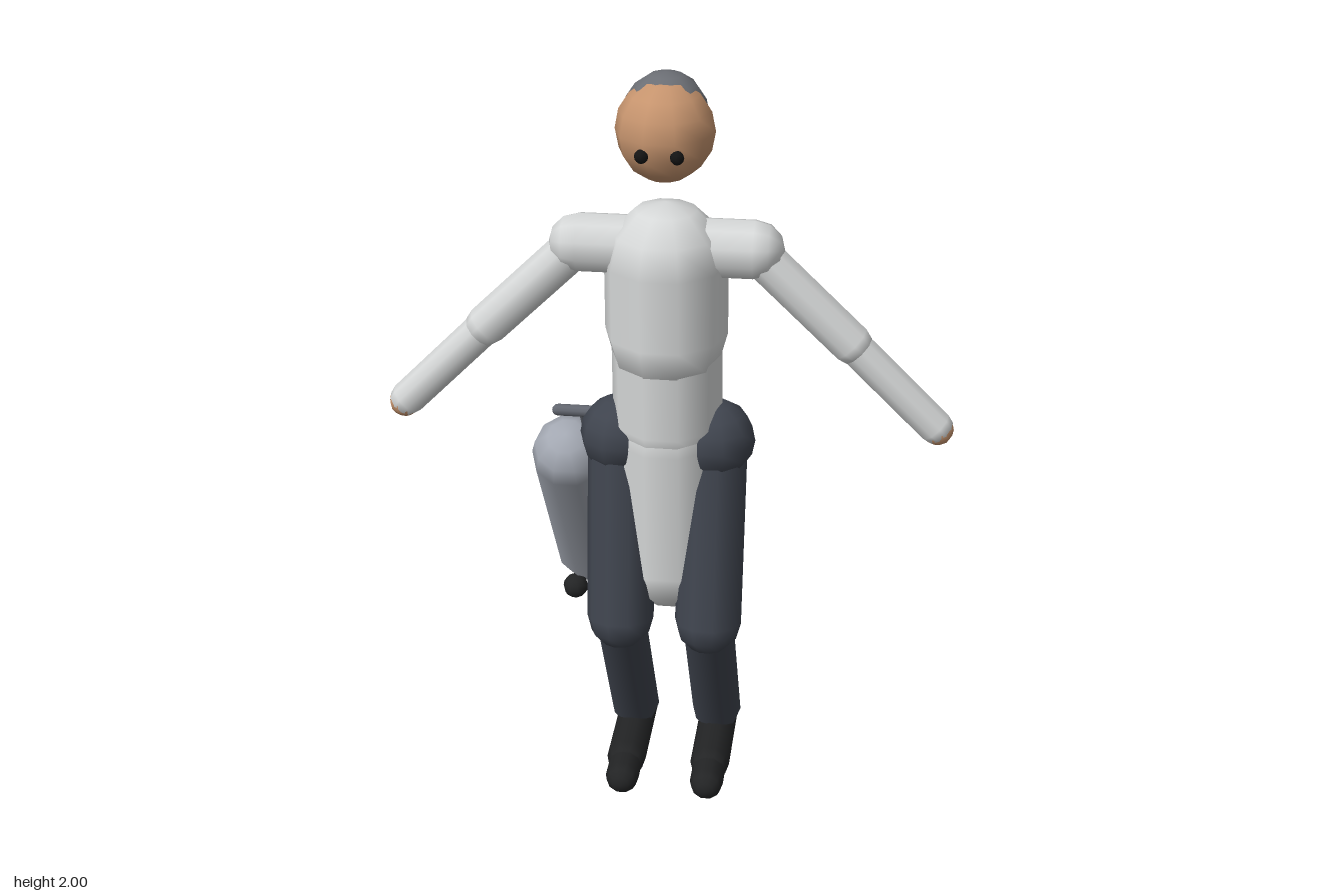
import * as THREE from 'three';

export function createModel() {
  const model = new THREE.Group();
  model.name = 'travellerWithSuitcase';

  const paint = (name, color) => {
    const m = new THREE.MeshStandardMaterial({ color });
    m.name = name;
    return m;
  };
  const shirt = paint('shirt light grey', 0xd6d8d8);
  const trousers = paint('trousers slate', 0x3f444e);
  const shoes = paint('shoe black', 0x232425);
  const skin = paint('skin', 0xc6946e);
  const hairGrey = paint('hair grey', 0x6c6f75);
  const eyeBlack = paint('eye black', 0x141414);
  const caseGrey = paint('case grey', 0xa3a8b2);
  const metal = paint('handle grey', 0x636770);

  const add = (name, geometry, material, parent = model) => {
    const mesh = new THREE.Mesh(geometry, material);
    mesh.name = name;
    parent.add(mesh);
    return mesh;
  };

  // Rounded limb whose end spheres are centred on points a and b
  const up = new THREE.Vector3(0, 1, 0);
  const limb = (name, a, b, r, material, parent = model) => {
    const p = new THREE.Vector3(...a), q = new THREE.Vector3(...b);
    const dir = q.clone().sub(p);
    const mesh = add(name, new THREE.CapsuleGeometry(r, dir.length(), 3, 10), material, parent);
    mesh.position.copy(p).add(q).multiplyScalar(0.5);
    mesh.quaternion.setFromUnitVectors(up, dir.normalize());
    return mesh;
  };
  const ball = (name, p, r, material, parent = model, w = 10, h = 8) => {
    const mesh = add(name, new THREE.SphereGeometry(r, w, h), material, parent);
    mesh.position.set(...p);
    return mesh;
  };

  // Head, hair and eyes
  const head = new THREE.Group();
  head.name = 'head';
  model.add(head);
  ball('face', [0, 1.865, 0.45], 0.123, skin, head).scale.set(0.98, 1.02, 1);
  ball('hair', [0, 1.897, 0.43], 0.104, hairGrey, head);

  // Torso
  limb('chest', [0, 1.53, 0.445], [0, 1.345, 0.445], 0.153, shirt);
  limb('waist', [0, 1.34, 0.44], [0, 1.1, 0.433], 0.139, shirt);
  limb('coatTail', [0, 1.05, 0.43], [0, 0.69, 0.42], 0.141, shirt);

  for (const s of [1, -1]) {
    const side = s > 0 ? 'left' : 'right';
    ball(side + 'Eye', [s * 0.042, 1.835, 0.562], 0.017, eyeBlack, head, 8, 6);

    // Arm
    const arm = new THREE.Group();
    arm.name = side + 'Arm';
    model.add(arm);
    limb('shoulder', [s * 0.05, 1.567, 0.44], [s * 0.215, 1.567, 0.44], 0.074, shirt, arm);
    limb('upperArm', [s * 0.225, 1.555, 0.44], [s * 0.455, 1.33, 0.437], 0.053, shirt, arm);
    limb('forearm', [s * 0.455, 1.33, 0.437], [s * 0.672, 1.11, 0.43], 0.045, shirt, arm);
    ball('hand', [s * 0.679, 1.102, 0.43], 0.04, skin, arm);

    // Leg
    const leg = new THREE.Group();
    leg.name = side + 'Leg';
    model.add(leg);
    ball('hip', [s * 0.12, 1.045, 0.435], 0.104, trousers, leg);
    limb('thigh', [s * 0.118, 1.04, 0.43], [s * 0.115, 0.555, 0.522], 0.087, trousers, leg);
    limb('shin', [s * 0.115, 0.53, 0.51], [s * 0.115, 0.115, 0.28], 0.067, trousers, leg);
    limb('heel', [s * 0.115, 0.054, 0.217], [s * 0.115, 0.054, 0.46], 0.053, shoes, leg);
    limb('toe', [s * 0.115, 0.05, 0.4], [s * 0.115, 0.05, 0.54], 0.045, shoes, leg);
  }

  // Tilted suitcase with wheels and a pull handle
  const suitcase = new THREE.Group();
  suitcase.name = 'suitcase';
  model.add(suitcase);
  const cx = -0.255;
  for (const s of [1, -1]) {
    limb('caseShell', [cx + s * 0.109, 0.66, -0.157], [cx + s * 0.109, 0.148, -0.495], 0.112, caseGrey, suitcase);
    ball('wheel', [cx + s * 0.15, 0.052, -0.407], 0.039, shoes, suitcase);
  }
  limb('handleRod', [cx, 0.59, -0.048], [cx, 0.99, 0.218], 0.012, metal, suitcase);
  limb('handleGrip', [cx - 0.068, 0.99, 0.216], [cx + 0.068, 0.99, 0.216], 0.016, metal, suitcase);

  return model;
}
